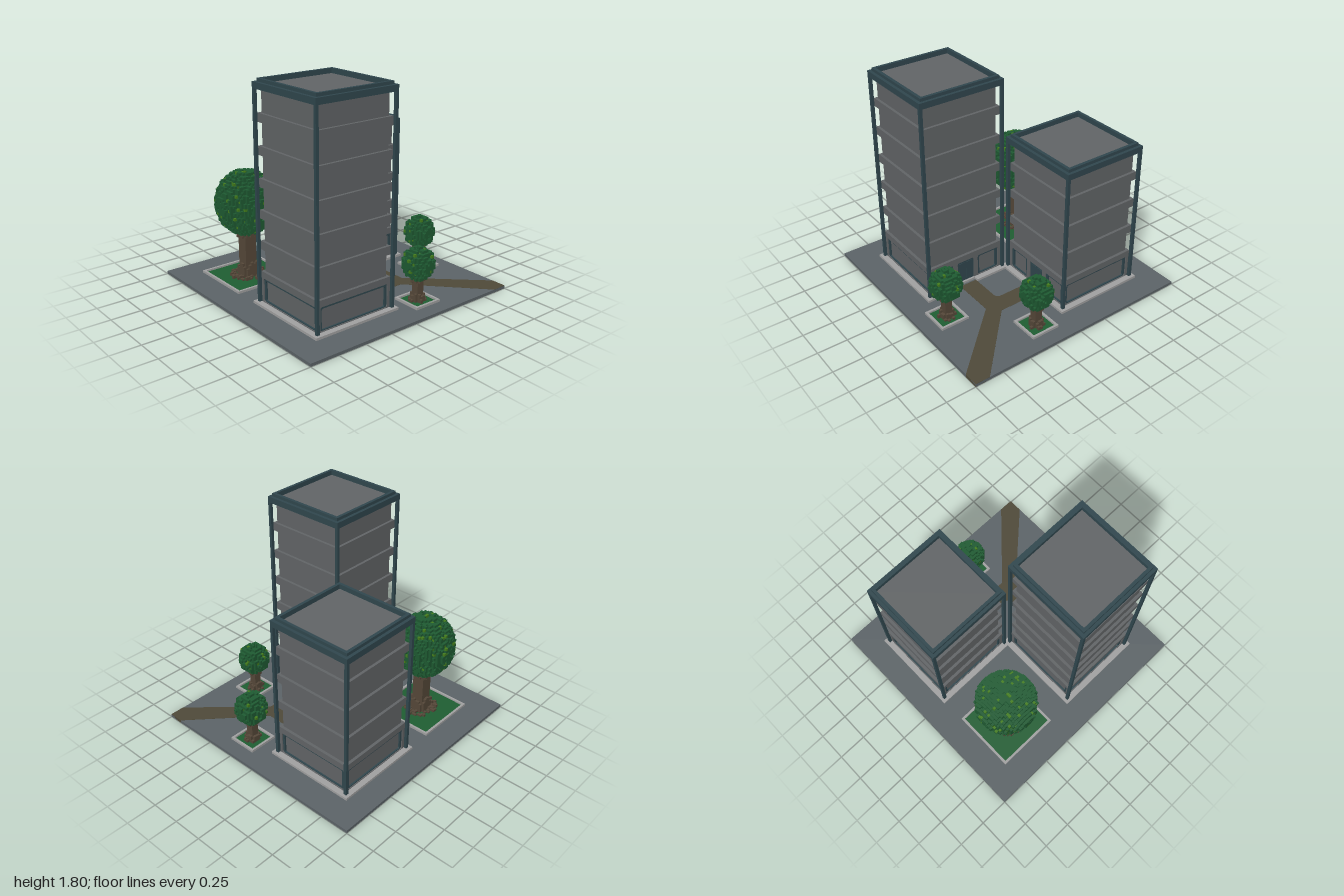
import * as THREE from 'three';
import { mergeGeometries } from 'three/addons/utils/BufferGeometryUtils.js';

const colour = (name, hex) => Object.assign(new THREE.MeshStandardMaterial({ color: hex }), { name });
const M = {
  paving: colour('paving', 0x5d6569),
  wall: colour('wall', 0x636668),
  trim: colour('darkTealTrim', 0x31484f),
  kerb: colour('paleKerb', 0xa3a3a3),
  path: colour('path', 0x504b3a),
  grass: colour('grass', 0x1f5f33),
  leaf: colour('leaf', 0x1f5c33),
  lightLeaf: colour('lightLeaf', 0x457f1e),
  bark: colour('bark', 0x57493a),
};

function add(parent, name, geometry, material) {
  const mesh = new THREE.Mesh(geometry, material);
  mesh.name = name;
  parent.add(mesh);
  return mesh;
}

// box given by its centre in x and z, and its bottom and top
function block(parent, name, material, w, d, y0, y1, x = 0, z = 0) {
  return add(parent, name, new THREE.BoxGeometry(w, y1 - y0, d).translate(x, (y0 + y1) / 2, z), material);
}

const polygon = points => new THREE.Shape(points.map(([x, z]) => new THREE.Vector2(x, -z)));
const square = h => [[-h, h], [h, h], [h, -h], [-h, -h]];

// flat plan outline (x, z) raised from y0 to y1
function slab(parent, name, material, shape, y0, y1) {
  const g = new THREE.ExtrudeGeometry(shape, { depth: y1 - y0, bevelEnabled: false, curveSegments: 6 });
  return add(parent, name, g.rotateX(-Math.PI / 2).translate(0, y0, 0), material);
}

function squareRing(parent, name, material, outer, inner, y0, y1) {
  const s = polygon(square(outer));
  s.holes.push(polygon(square(inner)));
  return slab(parent, name, material, s, y0, y1);
}

function roundedRect([x0, x1, y0, y1], r, Type = THREE.Shape) {
  const s = new Type();
  s.moveTo(x0 + r, y0).lineTo(x1 - r, y0).quadraticCurveTo(x1, y0, x1, y0 + r);
  s.lineTo(x1, y1 - r).quadraticCurveTo(x1, y1, x1 - r, y1);
  s.lineTo(x0 + r, y1).quadraticCurveTo(x0, y1, x0, y1 - r);
  s.lineTo(x0, y0 + r).quadraticCurveTo(x0, y0, x0 + r, y0);
  return s;
}

// ground floor front with rounded openings, teal frames and a door
function shopFront(openings, door) {
  const g = new THREE.Group();
  g.name = 'shopFront';
  const extrude = (name, shape, mat, z, depth) =>
    add(g, name, new THREE.ExtrudeGeometry(shape, { depth, bevelEnabled: false, curveSegments: 4 }).translate(0, 0, z), mat);
  const face = polygon([[-0.35, -0.035], [0.35, -0.035], [0.35, -0.3], [-0.35, -0.3]]);
  for (const o of openings) {
    face.holes.push(roundedRect(o, 0.02, THREE.Path));
    const frame = roundedRect(o, 0.02);
    frame.holes.push(roundedRect([o[0] + 0.02, o[1] - 0.02, o[2] + 0.008, o[3] - 0.02], 0.015, THREE.Path));
    extrude('windowFrame', frame, M.trim, 0.325, 0.016);
  }
  if (door) {
    face.holes.push(roundedRect(door, 0.018, THREE.Path));
    extrude('door', roundedRect(door, 0.018), M.trim, 0.325, 0.018);
    for (const x of [-0.035, 0.035]) {
      extrude('doorLeaf', roundedRect([x - 0.03, x + 0.03, 0.05, 0.225], 0.008), M.trim, 0.343, 0.004);
    }
  }
  extrude('groundFloorWall', face, M.wall, 0.325, 0.025);
  return g;
}

function tower(name, top) {
  const g = new THREE.Group();
  g.name = name;
  // plinth, notched in front of the door
  slab(g, 'plinth', M.kerb, polygon([[-0.4, 0.4], [-0.08, 0.4], [-0.08, 0.36], [0.08, 0.36], [0.08, 0.4],
    [0.4, 0.4], [0.4, -0.4], [-0.4, -0.4]]), 0.02, 0.045);
  block(g, 'core', M.wall, 0.655, 0.655, 0.025, top - 0.04);
  // floor bands
  for (let y = 0.48; y < top - 0.1; y += 0.25) {
    block(g, 'floorBand', M.wall, 0.7, 0.7, y, y + 0.07);
  }
  block(g, 'floorBand', M.wall, 0.704, 0.704, 0.245, 0.3);
  // corner posts and stepped parapet
  for (const x of [-1, 1]) for (const z of [-1, 1]) {
    block(g, 'cornerPost', M.trim, 0.025, 0.025, 0.04, top - 0.07, x * 0.3625, z * 0.3625);
  }
  squareRing(g, 'roofFrame', M.trim, 0.375, 0.325, top - 0.075, top - 0.025);
  squareRing(g, 'parapet', M.trim, 0.35, 0.325, top - 0.025, top);
  // entrance side at +z, wide windows on the other sides
  for (let i = 0; i < 4; i++) {
    const front = i === 0
      ? shopFront([[-0.325, -0.12, 0.05, 0.245], [0.12, 0.325, 0.05, 0.245]], [-0.08, 0.08, 0.037, 0.245])
      : shopFront([[-0.325, 0.325, 0.05, 0.245]]);
    front.rotation.y = i * Math.PI / 2;
    g.add(front);
  }
  return g;
}

function seeded(seed) {
  return () => {
    seed = (seed * 1664525 + 1013904223) % 4294967296;
    return seed / 4294967296;
  };
}

// voxel tree in a kerbed grass plot; n is the crown radius in voxels
function tree(name, n, plot, seed) {
  const g = new THREE.Group(), rnd = seeded(seed), v = 0.0207, s = n / 12;
  g.name = name;
  block(g, 'grass', M.grass, 2 * plot - 0.03, 2 * plot - 0.03, 0, 0.03);
  squareRing(g, 'plotKerb', M.kerb, plot, plot - 0.02, 0.02, 0.045);

  // hollow crown of small cubes with a ragged skin
  const cubes = { leaf: [], lightLeaf: [] };
  const centre = 0.665 * s + 0.007, h = n + 1;
  for (let i = -h; i <= h; i++) for (let j = -h; j <= h; j++) for (let k = -h; k <= h; k++) {
    const x = i + 0.5, y = j + 0.5, z = k + 0.5;
    const d = Math.hypot(x, y / 1.09, z) + 0.05;
    if (d > n + 0.15 || d < n - 2.2) continue;
    if (d > n - 0.7 && rnd() < 0.25) continue;
    const list = rnd() < 0.06 ? cubes.lightLeaf : cubes.leaf;
    list.push(new THREE.BoxGeometry(v, v, v).translate(x * v, centre + y * v, z * v));
  }
  add(g, 'crown', mergeGeometries(cubes.leaf), M.leaf);
  add(g, 'crownHighlights', mergeGeometries(cubes.lightLeaf), M.lightLeaf);

  // trunk of square columns, with low roots and spreading limbs
  const wood = [], R = 7 * s, trunk = 2.9 * s;
  for (let i = -8; i <= 8; i++) for (let k = -8; k <= 8; k++) {
    const d = Math.hypot(i, k);
    const column = (y0, y1) =>
      wood.push(new THREE.BoxGeometry(v, y1 - y0, v).translate(i * v, (y0 + y1) / 2, k * v));
    if (d <= trunk) column(0.025, 0.5 * s);
    else if (d <= trunk + 1) {
      column(0.025, 0.04 + 0.06 * s * (1 + rnd()));
      column((0.36 + 0.05 * rnd()) * s, 0.5 * s);
    } else if (d <= R && rnd() < 0.5) column(0.025, 0.04 + 0.02 * rnd());
  }
  add(g, 'trunk', mergeGeometries(wood), M.bark);
  return g;
}

export function createModel() {
  const model = new THREE.Group();
  model.name = 'towerBlocks';

  block(model, 'ground', M.paving, 2, 2, 0.001, 0.025);

  // forked path from the far corner to both doors
  const fork = new THREE.Shape();
  fork.moveTo(0, -0.45).lineTo(0.36, -0.45).lineTo(0.875, -1).lineTo(1, -1).lineTo(1, -0.875);
  fork.lineTo(0.45, -0.36).lineTo(0.45, 0.02).lineTo(0.295, 0.02).lineTo(0.295, -0.25);
  fork.quadraticCurveTo(0.295, -0.295, 0.25, -0.295).lineTo(0, -0.295);
  slab(model, 'path', M.path, fork, 0, 0.0265);

  const tall = tower('tallTower', 1.805);
  tall.position.set(-0.375, 0, 0.375);
  tall.rotation.y = Math.PI / 2;
  const low = tower('lowTower', 1.305);
  low.position.set(0.375, 0, -0.395);
  model.add(tall, low);

  const bigTree = tree('bigTree', 12, 0.275, 7);
  bigTree.position.set(-0.505, 0, -0.505);
  const sideTree = tree('sideTree', 6, 0.125, 21);
  sideTree.position.set(0.75, 0, 0.25);
  const frontTree = tree('frontTree', 6, 0.125, 43);
  frontTree.position.set(0.25, 0, 0.75);
  model.add(bigTree, sideTree, frontTree);
  return model;
}
